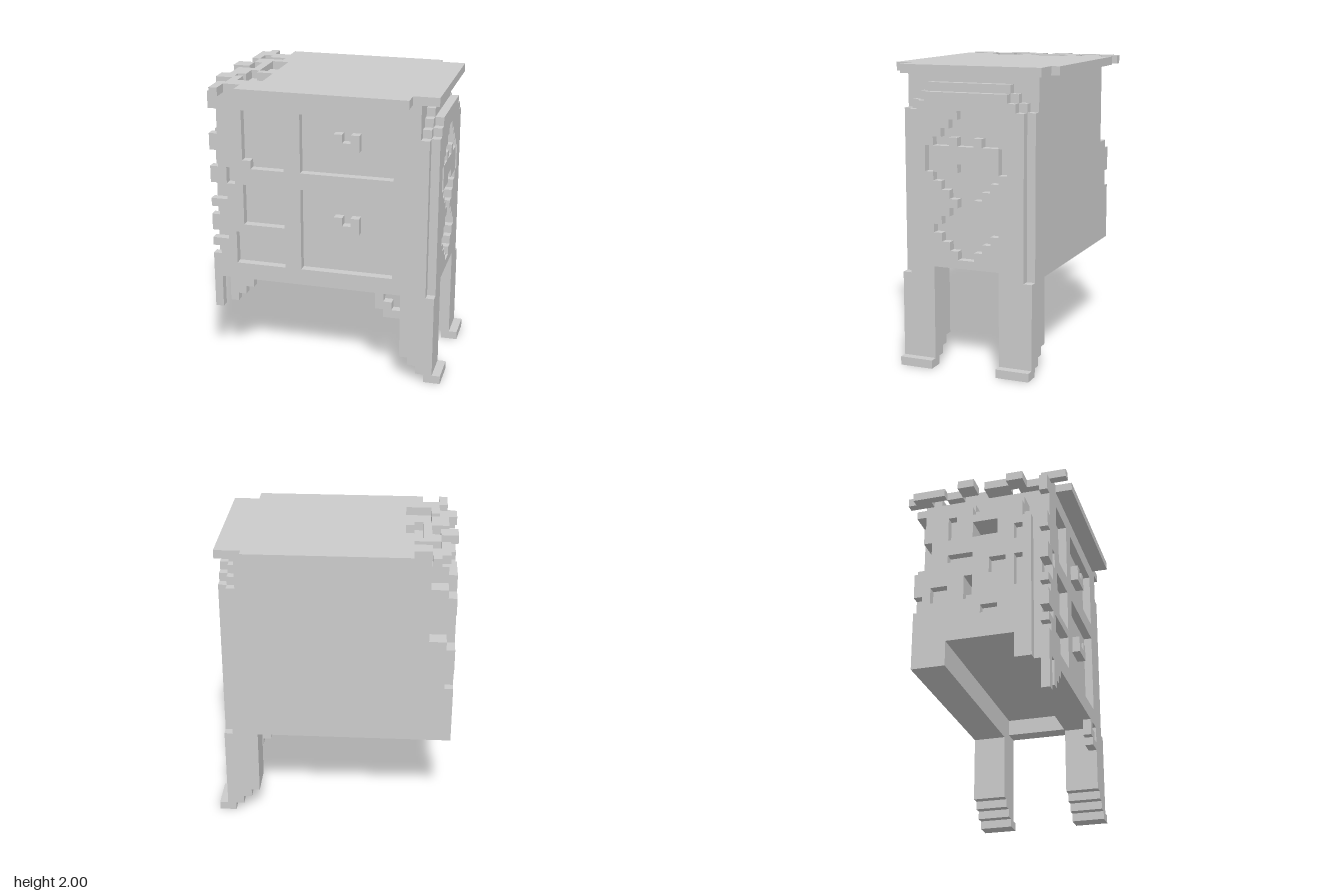
import * as THREE from 'three';

const U = 2 / 35; // one block of the grid

export function createModel() {
  const model = new THREE.Group();
  const mat = new THREE.MeshStandardMaterial({ color: 0xcccccc, flatShading: true });

  const add = (name, geo) => {
    const mesh = new THREE.Mesh(geo, mat);
    mesh.name = name;
    model.add(mesh);
  };
  // Box between two grid corners
  const box = (name, x0, y0, z0, x1, y1, z1) => {
    const g = new THREE.BoxGeometry((x1 - x0) * U, (y1 - y0) * U, (z1 - z0) * U);
    g.translate((x0 + x1) / 2 * U, (y0 + y1) / 2 * U, (z0 + z1) / 2 * U);
    add(name, g);
  };
  const points = (list) => list.map(([a, b]) => new THREE.Vector2(a * U, b * U));
  const rect = (a0, b0, a1, b1) => [[a0, b0], [a1, b0], [a1, b1], [a0, b1]];
  const plate = (outline, holes, depth) => {
    const shape = new THREE.Shape(points(outline));
    holes.forEach((h) => shape.holes.push(new THREE.Path(points(h))));
    return new THREE.ExtrudeGeometry(shape, { depth: depth * U, bevelEnabled: false });
  };
  // Upright plate across the cabinet: outline given as (-z, y), set at x
  const sidePlate = (name, x, depth, outline, holes) => {
    const g = plate(outline, holes, depth);
    g.rotateY(Math.PI / 2);
    g.translate(x * U, 0, 0);
    add(name, g);
  };
  // Symmetric stepped outline from half-widths per row
  const stepped = (y0, halves) => {
    const right = [], left = [];
    halves.forEach((h, i) => {
      right.push([h, y0 + i], [h, y0 + i + 1]);
      left.unshift([-h, y0 + i + 1], [-h, y0 + i]);
    });
    return [...right, ...left];
  };

  // Cabinet core with a raised floor between two aprons
  box('cabinetCore', -11, 14, -8, 11, 34, 7);
  box('rearApron', -11, 11, -8, 11, 14, -4);
  box('frontApron', -11, 11, 4, 11, 14, 7);

  // Front frame with drawer openings
  const frame = plate(
    [[-11, 11], [12, 11], [12, 30], [11, 30], [11, 34], [-11, 34], [-11, 17],
      [-5, 17], [-5, 13], [-11, 13]],
    [rect(-3, 25, 8, 32), rect(-3, 13, 8, 23),
      rect(-10, 25, -5, 32), rect(-10, 18, -5, 23)], 1);
  frame.translate(0, 0, 7 * U);
  add('drawerFrame', frame);

  // U-shaped drawer pulls
  for (const y of [18, 28]) {
    const pull = plate([[1, y], [4, y], [4, y + 2], [3, y + 2], [3, y + 1],
      [2, y + 1], [2, y + 2], [1, y + 2]], [], 1);
    pull.translate(0, 0, 7 * U);
    add('drawerPull', pull);
  }

  // Left-hand side wall: stepped inner layer, then a panel with carved figure
  for (const [y0, y1, h] of [[14, 30, 8], [30, 31, 7], [31, 32, 6], [32, 33, 5]]) {
    box('sideLayer', 11, y0, -h, 12, y1, h === 8 ? 7 : h);
  }
  box('sideLayerSill', 11, 12, -4, 12, 14, 4);
  for (const s of [-1, 1]) {
    box('sideLayerFoot', 11, 11, s < 0 ? -8 : 4, 12, 14, s < 0 ? -4 : 7);
  }
  sidePlate('carvedSidePanel', 12, 1,
    [[-7, 11], [-4, 11], [-4, 12], [4, 12], [4, 11], [7, 11], [7, 30], [6, 30],
      [6, 31], [5, 31], [5, 32], [-5, 32], [-5, 31], [-6, 31], [-6, 30], [-7, 30]],
    [stepped(13, [1, 2, 3, 4, 3, 2, 1, 2, 3, 4, 5, 5, 5, 4, 3, 2, 1])]);
  // Raised island inside the upper ring
  sidePlate('carvingIsland', 12, 1,
    [[-4, 23], [-1, 23], [-1, 24], [1, 24], [1, 23], [4, 23], [4, 26], [2, 26],
      [2, 27], [1, 27], [1, 26], [-1, 26], [-1, 27], [-2, 27], [-2, 26], [-4, 26]], []);

  // Stepped legs with projecting toes
  for (const z of [-8, 4]) {
    const leg = plate([[12, 0], [14, 0], [14, 1], [13, 1], [13, 11], [9, 11],
      [9, 3], [10, 3], [10, 2], [11, 2], [11, 1], [12, 1]], [], 4);
    leg.translate(0, 0, z * U);
    add('leg', leg);
  }

  // Corner brackets under the front apron
  box('bracket', 6, 9, 7, 7, 11, 8);
  box('bracket', 7, 8, 7, 8, 10, 8);
  box('bracket', 8, 8, 7, 9, 9, 8);
  [8, 9, 10].forEach((y, i) => box('brokenBracket', -12 + i, y, 7, -11 + i, 11, 8));

  // Table top with a broken edge
  const top = plate([[-10, -10], [10, -10], [10, -8], [13, -8], [13, 9], [10, 9],
    [10, 10], [-9, 10], [-9, 5], [-10, 5], [-10, 4], [-8, 4], [-8, 0], [-9, 0],
    [-9, -1], [-10, -1], [-10, -2], [-8, -2], [-8, -6], [-10, -6]], [], 1);
  top.rotateX(-Math.PI / 2);
  top.translate(0, 34 * U, 0);
  add('tableTop', top);

  // Loose pieces of the broken top
  [[-13, 7, -12, 10], [-12, 6, -10, 8], [-14, 3, -12, 5], [-12, 4, -11, 7],
    [-13, 0, -11, 3], [-11, -3, -10, 1], [-12, -5, -10, -3], [-14, -3, -12, -1],
    [-13, -9, -12, -5], [-12, -10, -11, -7], [-11, -8, -9, -6]]
    .forEach(([x0, z0, x1, z1]) => box('topFragment', x0, 34, z0, x1, 35, z1));

  // Broken right-hand wall: inner layer, then a pitted outer skin
  sidePlate('brokenWallInner', -13, 2,
    [[-7, 11], [-4, 11], [-4, 14], [4, 14], [4, 11], [8, 11], [8, 24], [6, 24],
      [6, 27], [7, 27], [7, 30], [5, 30], [5, 32], [1, 32], [1, 31], [-2, 31],
      [-2, 32], [-5, 32], [-5, 30], [-7, 30]],
    [rect(-2, 27, 1, 29), rect(1, 20, 2, 22)]);
  sidePlate('brokenWallSkin', -14, 1,
    [[-6, 11], [-4, 11], [-4, 14], [4, 14], [4, 11], [8, 11], [8, 18], [7, 18],
      [7, 20], [8, 20], [8, 23], [6, 23], [6, 27], [7, 27], [7, 29], [5, 29],
      [5, 31], [1, 31], [1, 30], [-2, 30], [-2, 31], [-5, 31], [-5, 29], [-6, 29]],
    [rect(4, 19, 6, 21), rect(1, 19, 2, 22), rect(1, 24, 4, 25), rect(-2, 17, 0, 18),
      rect(-2, 27, 1, 29), rect(-5, 20, -4, 24), rect(-3, 22, -1, 24),
      rect(-5, 26, -4, 28), rect(3, 27, 4, 30)]);

  // Broken front corner post
  [[-14, 7, -13, 14], [-13, 11, -11, 15], [-12, 15, -11, 17], [-14, 15, -12, 16],
    [-14, 17, -11, 19], [-13, 19, -11, 21], [-14, 20, -13, 21], [-12, 21, -10, 23],
    [-14, 23, -12, 25], [-11, 24, -9, 26], [-13, 25, -11, 29], [-14, 27, -13, 29],
    [-13, 29, -11, 32], [-14, 32, -12, 34], [-12, 32, -11, 34]]
    .forEach(([x0, y0, x1, y1]) => box('postFragment', x0, y0, 7, x1, y1, 8));

  return model;
}
